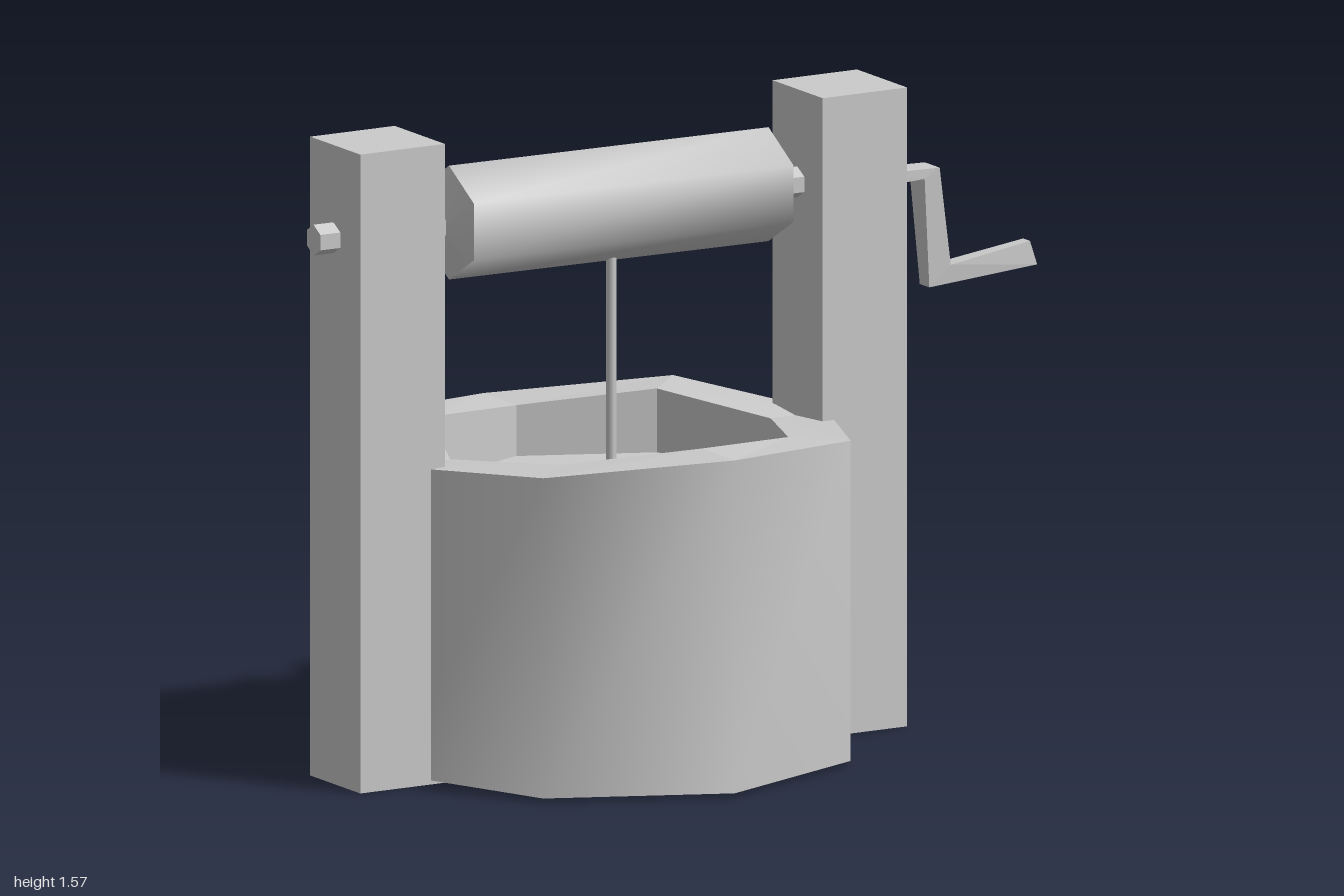
import * as THREE from 'three';
import { toCreasedNormals } from 'three/addons/utils/BufferGeometryUtils.js';

const smooth = new THREE.MeshStandardMaterial({ color: 0xcccccc, side: THREE.DoubleSide });
const flat = new THREE.MeshStandardMaterial({ color: 0xcccccc, side: THREE.DoubleSide, flatShading: true });

function part(parent, name, geometry, material = smooth) {
  const mesh = new THREE.Mesh(geometry, material);
  mesh.name = name;
  parent.add(mesh);
  return mesh;
}

// Skin of quads between two rows of points with matching counts
function strip(a, b) {
  const n = a.length, index = [];
  for (let i = 0; i < n - 1; i++) index.push(i, n + i, i + 1, n + i, n + i + 1, i + 1);
  const g = new THREE.BufferGeometry().setFromPoints([...a, ...b]);
  g.setIndex(index);
  g.computeVertexNormals();
  return g;
}

function buildWell(parent) {
  const well = new THREE.Group();
  well.name = 'well';
  parent.add(well);

  // Uneven eight-cornered rim: x, height, z
  const corners = [
    [-0.605, 0.795, -0.44], [-0.18, 0.765, -0.605], [0.24, 0.797, -0.42], [0.42, 0.767, 0],
    [0.23, 0.797, 0.43], [-0.195, 0.828, 0.6], [-0.62, 0.797, 0.415], [-0.79, 0.767, 0],
  ].map((c) => new THREE.Vector3(...c));
  const outer = [...corners, corners[0]];
  const cx = -0.185, waterY = 0.64;
  const atHeight = (row, y) => row.map((p) => new THREE.Vector3(p.x, y, p.z));
  const inner = outer.map((p) => new THREE.Vector3(cx + (p.x - cx) * 0.74, p.y, p.z * 0.74));
  const waterEdge = atHeight(inner, waterY);

  // Outer wall in two smooth runs, meeting at hard corners
  for (const [from, to] of [[0, 3], [2, 9]]) {
    const run = outer.slice(from, to);
    part(well, 'outerWall', strip(atHeight(run, 0.01), run));
  }
  part(well, 'rim', strip(outer, inner), flat);
  part(well, 'innerWall', strip(inner, waterEdge), flat);
  const centre = waterEdge.map(() => new THREE.Vector3(cx, waterY, 0));
  part(well, 'water', strip(waterEdge, centre), flat);
}

function buildPosts(parent) {
  for (const [name, x, z] of [['rightPost', -0.827, -0.015], ['leftPost', 0.45, 0.01]]) {
    const g = new THREE.BoxGeometry(0.236, 1.57, 0.235);
    // Open underside
    const index = Array.from(g.index.array);
    index.splice(18, 6);
    g.clearGroups();
    g.setIndex(index);
    part(parent, name, g, flat).position.set(x, 0.785, z);
  }
}

function buildWindlass(parent) {
  const windlass = new THREE.Group();
  windlass.name = 'windlass';
  windlass.position.y = 1.345;
  windlass.rotation.y = -0.025;
  parent.add(windlass);

  // Six-sided drum with short tapered ends
  const profile = [[0.035, -0.655], [0.14, -0.627], [0.14, 0.253], [0.035, 0.285]]
    .map(([r, y]) => new THREE.Vector2(r, y));
  const drum = new THREE.LatheGeometry(profile, 6, Math.PI / 2).rotateZ(-Math.PI / 2);
  part(windlass, 'drum', toCreasedNormals(drum, 1.1));

  const axle = new THREE.CylinderGeometry(0.038, 0.038, 1.5, 6, 1, false, Math.PI / 2);
  axle.rotateZ(-Math.PI / 2);
  part(windlass, 'axle', axle, flat).position.set(-0.25, -0.003, 0);
}

function buildCrank(parent) {
  const crank = new THREE.Group();
  crank.name = 'crank';
  parent.add(crank);

  // Sections: upper x y, lower x y, back z, front z
  const rings = [
    [0.45, 1.347, 0.45, 1.307, -0.03, 0.045],
    [0.705, 1.343, 0.663, 1.32, -0.02, 0.05],
    [0.745, 1.097, 0.685, 1.048, -0.01, 0.035],
    [0.98, 1.125, 1.0, 1.065, -0.02, 0.012],
  ].map(([ux, uy, lx, ly, z0, z1]) => [
    new THREE.Vector3(ux, uy, z1), new THREE.Vector3(ux, uy, z0),
    new THREE.Vector3(lx, ly, z0), new THREE.Vector3(lx, ly, z1),
  ]);
  const names = ['crankShaft', 'crankArm', 'crankHandle'];
  names.forEach((name, i) => {
    const [a, b] = [rings[i], rings[i + 1]];
    part(crank, name, strip([...a, a[0]], [...b, b[0]]), flat);
  });
  const [p0, p1, p2, p3] = rings[3];
  part(crank, 'handleEnd', strip([p0, p1], [p3, p2]), flat);
}

export function createModel() {
  const model = new THREE.Group();
  model.name = 'waterWell';
  buildWell(model);
  buildPosts(model);
  buildWindlass(model);
  buildCrank(model);

  // Rope from the drum down to the water
  const rope = new THREE.CylinderGeometry(0.013, 0.013, 0.64, 6, 1, true);
  part(model, 'rope', rope).position.set(-0.183, 0.95, 0);
  return model;
}
